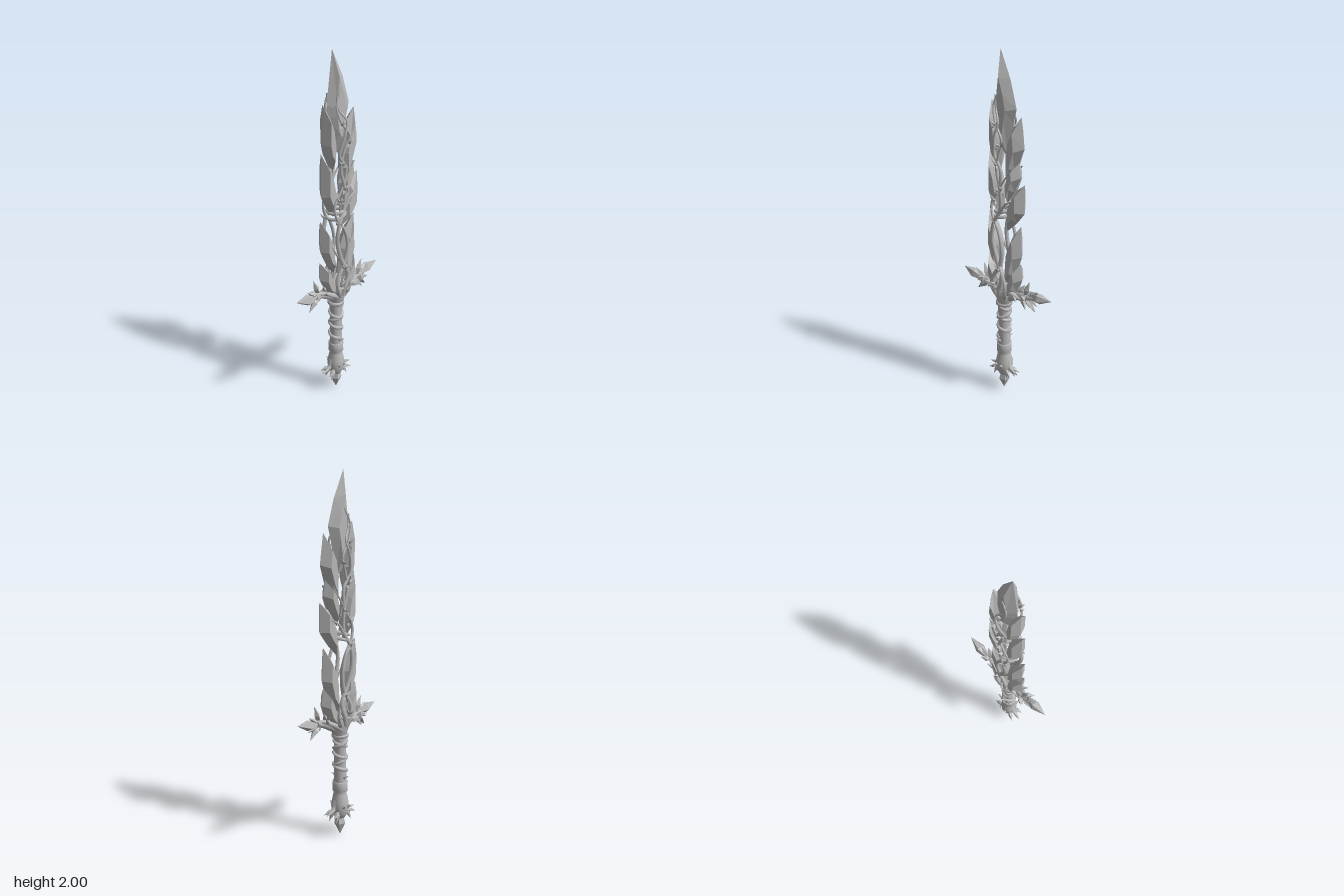
import * as THREE from 'three';

const stone = new THREE.MeshStandardMaterial({ color: 0xb9b9b9 });
stone.name = 'grey stone';
const V = (p) => new THREE.Vector3(...p);

function add(parent, name, geometry) {
  const mesh = new THREE.Mesh(geometry, stone);
  mesh.name = name;
  parent.add(mesh);
  return mesh;
}

function faceted(geometry) {
  const g = geometry.index ? geometry.toNonIndexed() : geometry;
  g.computeVertexNormals();
  return g;
}

// Pointed crystal running from one point to another
function crystal(parent, name, from, to, r, sides = 5, belly = 0.42) {
  const a = V(from), d = V(to).sub(a), len = d.length();
  const profile = [[0, 0], [r * 0.55, len * 0.08], [r, len * belly], [0, len]].map((p) => new THREE.Vector2(...p));
  const m = add(parent, name, faceted(new THREE.LatheGeometry(profile, sides)));
  m.position.copy(a);
  m.quaternion.setFromUnitVectors(new THREE.Vector3(0, 1, 0), d.normalize());
  return m;
}

// Tapered tube through points
function vine(parent, name, pts, r0, r1, sides = 7) {
  const curve = new THREE.CatmullRomCurve3(pts.map(V));
  const seg = pts.length * 6;
  const g = new THREE.TubeGeometry(curve, seg, 1, sides);
  const pos = g.attributes.position, p = new THREE.Vector3();
  for (let i = 0; i <= seg; i++) {
    const c = curve.getPointAt(i / seg);
    const r = r0 + (r1 - r0) * (i / seg);
    for (let j = 0; j <= sides; j++) {
      const k = i * (sides + 1) + j;
      p.fromBufferAttribute(pos, k).sub(c).multiplyScalar(r).add(c);
      pos.setXYZ(k, p.x, p.y, p.z);
    }
  }
  return add(parent, name, g);
}

// Blade shard: outline in (z, y) with bevelled faces rising to a plateau on both sides
function shard(parent, name, outline, t, inset = 0.42) {
  let area = 0, cz = 0, cy = 0;
  const n = outline.length;
  outline.forEach(([z, y], i) => {
    const [z2, y2] = outline[(i + 1) % n];
    area += z * y2 - z2 * y;
    cz += z / n;
    cy += y / n;
  });
  const o = area > 0 ? [...outline].reverse() : outline;
  const out = [];
  for (const s of [1, -1]) {
    const tri = (a, b, c) => out.push(...(s > 0 ? [a, b, c] : [a, c, b]).flat());
    const ridge = ([z, y]) => [s * t, cy + (y - cy) * (inset + 0.15), cz + (z - cz) * inset];
    for (let i = 0; i < n; i++) {
      const a = o[i], b = o[(i + 1) % n];
      const A = [0, a[1], a[0]], B = [0, b[1], b[0]], ma = ridge(a), mb = ridge(b);
      tri(A, B, mb);
      tri(A, mb, ma);
      tri([s * t, cy, cz], ma, mb);
    }
  }
  const g = new THREE.BufferGeometry();
  g.setAttribute('position', new THREE.Float32BufferAttribute(out, 3));
  return add(parent, name, faceted(g));
}

function lathe(parent, name, profile, z) {
  const m = add(parent, name, new THREE.LatheGeometry(profile.map((p) => new THREE.Vector2(...p)), 16));
  m.position.z = z;
  return m;
}

function group(parent, name) {
  const g = new THREE.Group();
  g.name = name;
  parent.add(g);
  return g;
}

export function createModel() {
  const root = new THREE.Group();
  root.name = 'crystalVineSword';
  const zc = 0.015;

  // Blade shards
  const blade = group(root, 'blade');
  shard(blade, 'tipShard', [[0.037, 2], [-0.03, 1.86], [-0.072, 1.72], [-0.05, 1.64], [-0.01, 1.46], [0.035, 1.5], [0.07, 1.66], [0.073, 1.73]], 0.036);
  const frontShards = [
    [[0.1, 1.74], [0.05, 1.66], [0.02, 1.5], [0.035, 1.38], [0.075, 1.43], [0.1, 1.53]],
    [[0.113, 1.49], [0.05, 1.38], [0.015, 1.25], [0.035, 1.12], [0.08, 1.18], [0.113, 1.25]],
    [[0.123, 1.12], [0.07, 1.04], [0.03, 0.95], [0.03, 0.78], [0.07, 0.82], [0.123, 0.94]],
    [[0.128, 0.875], [0.08, 0.82], [0.02, 0.72], [0.03, 0.64], [0.08, 0.67], [0.13, 0.77]],
  ];
  const backShards = [
    [[-0.105, 1.69], [-0.04, 1.6], [-0.005, 1.46], [-0.01, 1.3], [-0.06, 1.37], [-0.128, 1.53]],
    [[-0.093, 1.45], [-0.04, 1.4], [0, 1.3], [-0.01, 1.2], [-0.06, 1.28], [-0.105, 1.37]],
    [[-0.133, 1.34], [-0.07, 1.29], [-0.01, 1.18], [-0.01, 1.04], [-0.08, 1.11], [-0.133, 1.18]],
    [[-0.11, 1.1], [-0.05, 1.02], [-0.01, 0.92], [0.01, 0.68], [-0.06, 0.76], [-0.117, 0.92]],
    [[-0.11, 0.88], [-0.06, 0.81], [-0.01, 0.72], [-0.02, 0.63], [-0.08, 0.69], [-0.122, 0.785]],
  ];
  frontShards.forEach((o) => shard(blade, 'frontShard', o, 0.042));
  backShards.forEach((o) => shard(blade, 'backShard', o, 0.042));

  // Vines climbing both faces of the blade, with thorns
  const climbing = [
    [[0.02, 0.6, 0.02], [0.055, 0.7, 0], [0.055, 0.78, -0.025], [0.05, 0.88, 0.02], [0.055, 1, 0.05], [0.055, 1.1, 0.035], [0.045, 1.17, 0],
      [0.048, 1.28, -0.005], [0.048, 1.4, 0.02], [0.05, 1.5, 0], [0.06, 1.57, -0.025], [0.052, 1.65, 0.025], [0.042, 1.73, 0.045], [0.036, 1.81, 0.01]],
    [[0.02, 0.6, 0], [0.05, 0.68, 0.035], [0.05, 0.76, 0.045], [0.05, 0.86, -0.005], [0.055, 0.96, -0.02], [0.055, 1.06, 0.005], [0.05, 1.13, 0.05],
      [0.045, 1.2, 0.06], [0.045, 1.27, 0.02], [0.045, 1.35, -0.03], [0.04, 1.42, -0.075]],
    [[0.03, 0.63, -0.02], [0.05, 0.72, -0.04], [0.045, 0.82, -0.01], [0.045, 0.92, 0.05], [0.035, 1, 0.085]],
    [[0.045, 1.3, 0], [0.05, 1.4, -0.01], [0.05, 1.48, 0.035], [0.07, 1.58, 0.015], [0.062, 1.65, -0.005], [0.04, 1.71, 0.03], [0.036, 1.78, 0.04]],
    [[0.045, 1.16, 0], [0.045, 1.22, -0.04], [0.04, 1.25, -0.09]],
  ];
  const radii = [0.015, 0.014, 0.011, 0.009, 0.009];
  const thorns = [[0.055, 0.82, 0.0], [0.055, 0.72, 0.03], [0.05, 1.22, 0.03], [0.05, 1.28, 0], [0.05, 1.42, 0.02], [0.06, 1.53, -0.02], [0.05, 1.09, 0.04], [0.05, 1.63, 0.02]];
  for (const s of [1, -1]) {
    const side = group(root, s > 0 ? 'leftVines' : 'rightVines');
    const flip = ([x, y, z]) => [s * x, y, z];
    climbing.forEach((pts, i) => vine(side, 'climbingVine', pts.map(flip), radii[i], 0.004));
    thorns.forEach(([x, y, z], i) => {
      const w = i % 2 ? 1 : -1;
      crystal(side, 'thorn', flip([x, y, z]), flip([x + 0.028, y + 0.022, z + 0.012 * w]), 0.008, 4);
      crystal(side, 'thorn', flip([x, y, z]), flip([x + 0.012, y + 0.035, z - 0.03 * w]), 0.008, 4);
      crystal(side, 'thorn', flip([x, y, z]), flip([x + 0.02, y - 0.015, z + 0.025 * w]), 0.007, 4);
    });
    // Leaves at the blade root
    [[0.06, 0.74, 0.06], [0.065, 0.72, -0.05], [0.06, 0.8, 0.02]].forEach((tip) =>
      crystal(side, 'rootLeaf', flip([0.035, 0.64, tip[2] * 0.4]), flip(tip), 0.016, 4));
  }
  // Vine loops binding the blade
  for (const [y, rx, rz] of [[1.13, 0.05, 0.05], [1.16, 0.048, 0.045], [0.7, 0.055, 0.06]]) {
    const m = add(root, 'bindingVine', new THREE.TorusGeometry(1, 0.17, 6, 24));
    m.geometry.rotateX(Math.PI / 2).scale(rx, 0.055, rz);
    m.position.set(0, y, zc);
    m.rotation.x = 0.25;
  }

  // Crossguard: knot and two crystal-tipped branches
  lathe(root, 'guardKnot', [[0.036, 0.58], [0.042, 0.61], [0.052, 0.64], [0.055, 0.68], [0.045, 0.72], [0.02, 0.76], [0, 0.77]], 0.01);
  for (const e of [0, 1]) {
    const arm = group(root, e ? 'backGuard' : 'frontGuard');
    arm.rotation.y = e * Math.PI;
    arm.position.y = e * 0.01;
    vine(arm, 'branch', [[0, 0.62, 0], [0.005, 0.65, 0.06], [0, 0.675, 0.12], [0.012, 0.69, 0.2]], 0.032, 0.014);
    vine(arm, 'branch', [[0.03, 0.62, 0], [0.03, 0.66, 0.06], [0.015, 0.69, 0.12], [0.005, 0.7, 0.19]], 0.018, 0.008);
    vine(arm, 'branch', [[-0.03, 0.64, 0], [-0.028, 0.68, 0.05], [-0.015, 0.665, 0.12], [0.01, 0.68, 0.18]], 0.018, 0.008);
    crystal(arm, 'guardCrystal', [0.015, 0.685, 0.17], [0.022, 0.713, 0.312], 0.03, 5);
    const leaves = [
      [[0, 0.69, 0.14], [0, 0.785, 0.175], 0.018], [[0, 0.68, 0.14], [0.01, 0.605, 0.215], 0.02],
      [[0, 0.68, 0.12], [-0.02, 0.615, 0.165], 0.015], [[0.01, 0.69, 0.14], [0.05, 0.7, 0.185], 0.017],
      [[-0.01, 0.68, 0.13], [-0.045, 0.69, 0.18], 0.017], [[0.01, 0.69, 0.16], [0.015, 0.735, 0.225], 0.015],
      [[0.01, 0.67, 0.08], [0.05, 0.71, 0.13], 0.015], [[-0.01, 0.67, 0.07], [-0.05, 0.66, 0.12], 0.015],
      [[0.01, 0.68, 0.15], [0.005, 0.65, 0.23], 0.014], [[0, 0.68, 0.09], [0.02, 0.74, 0.125], 0.014],
    ];
    leaves.forEach(([a, b, r]) => crystal(arm, 'guardLeaf', a, b, r, 4));
  }

  // Grip with bands and wound cord
  lathe(root, 'grip', [[0.036, 0.24], [0.036, 0.27], [0.034, 0.4], [0.033, 0.5], [0.036, 0.6]], zc);
  lathe(root, 'lowerBand', [[0.034, 0.262], [0.043, 0.266], [0.041, 0.29], [0.043, 0.318], [0.034, 0.322]], zc);
  lathe(root, 'upperBand', [[0.034, 0.578], [0.046, 0.582], [0.046, 0.598], [0.034, 0.602]], zc);
  for (const [y0, y1, turns, phase] of [[0.36, 0.57, 3, 0], [0.57, 0.42, 1.5, 2]]) {
    const pts = [];
    for (let i = 0; i <= turns * 8; i++) {
      const a = phase + (i / 8) * Math.PI * 2, y = y0 + ((y1 - y0) * i) / (turns * 8);
      pts.push([Math.cos(a) * 0.034, y, zc + Math.sin(a) * 0.034]);
    }
    vine(root, 'gripCord', pts, 0.011, 0.009, 6);
  }
  for (const s of [1, -1]) {
    for (const dz of [-0.015, 0.015]) crystal(root, 'gripThorn', [s * 0.03, 0.345, zc], [s * 0.054, 0.36, zc + dz], 0.008, 4);
  }

  // Pommel: flared socket, claws and crystal
  lathe(root, 'pommelSocket', [[0, 0.1], [0.028, 0.105], [0.042, 0.13], [0.05, 0.17], [0.046, 0.205], [0.037, 0.25]], zc);
  for (const s of [1, -1]) {
    vine(root, 'claw', [[0, 0.21, zc + s * 0.025], [0, 0.165, zc + s * 0.045], [0, 0.145, zc + s * 0.075], [0, 0.14, zc + s * 0.104]], 0.022, 0.003);
    for (const x of [-1, 1]) {
      crystal(root, 'clawLeaf', [x * 0.015, 0.16, zc + s * 0.025], [x * 0.028, 0.085, zc + s * 0.058], 0.014, 4);
      crystal(root, 'clawLeaf', [x * 0.02, 0.15, zc + s * 0.03], [x * 0.04, 0.125, zc + s * 0.085], 0.013, 4);
      crystal(root, 'socketThorn', [x * 0.035, 0.17, zc + s * 0.015], [x * 0.06, 0.19, zc + s * 0.02], 0.012, 4);
    }
  }
  crystal(root, 'pommelCrystal', [0, 0.14, zc], [0, 0, zc], 0.033, 5, 0.5);
  return root;
}
